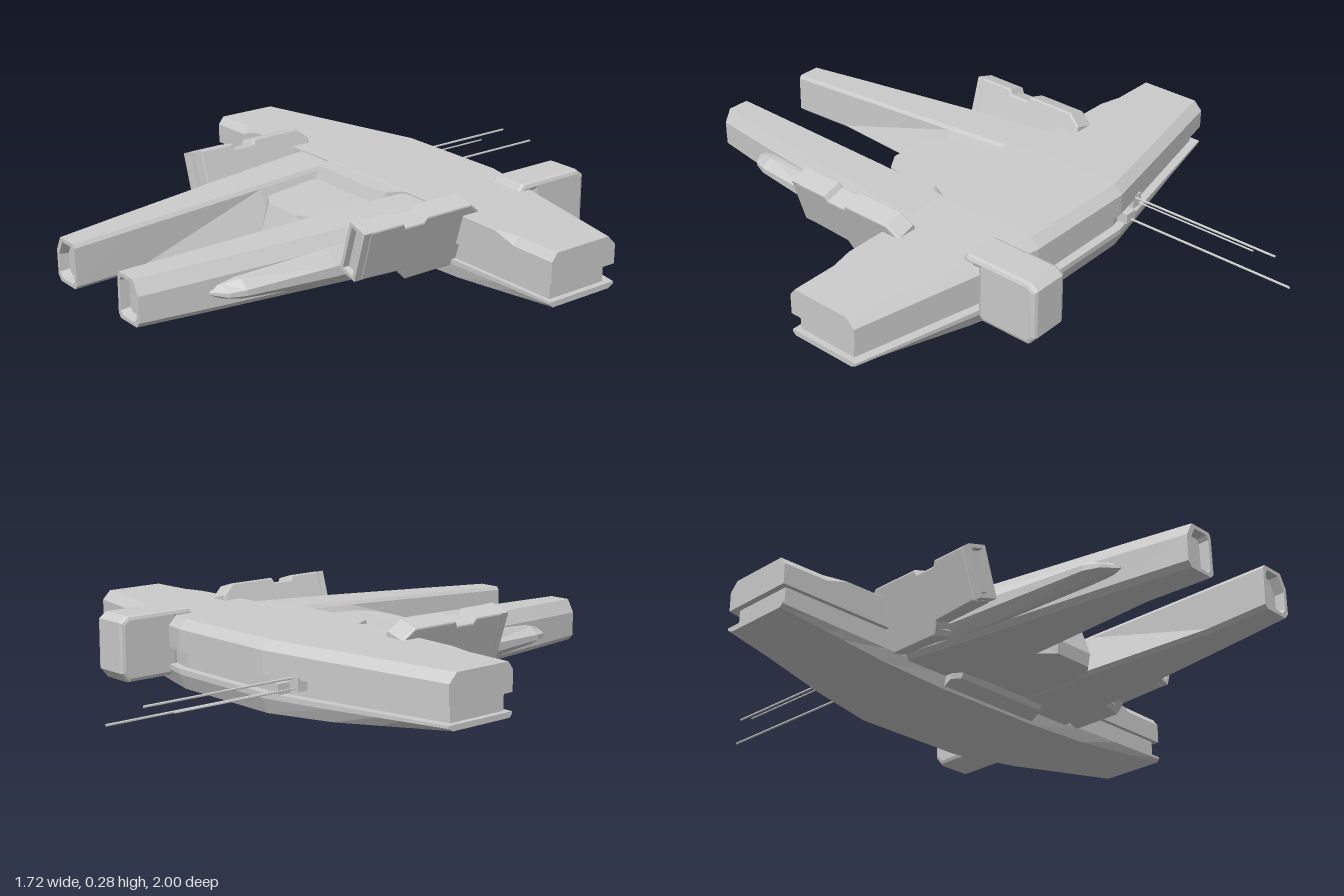
import * as THREE from 'three';

const material = new THREE.MeshStandardMaterial({ color: 0xcccccc, flatShading: true });

function add(group, name, geometry) {
  const mesh = new THREE.Mesh(geometry, material);
  mesh.name = name;
  group.add(mesh);
  return mesh;
}

// Closed solid through matching rings of [x, y, z] points, always wound outwards.
function loft(rings) {
  const n = rings[0].length, tris = [];
  for (let r = 0; r < rings.length - 1; r++) {
    for (let i = 0; i < n; i++) {
      const j = (i + 1) % n;
      const a = rings[r][i], b = rings[r][j], c = rings[r + 1][j], d = rings[r + 1][i];
      tris.push([a, b, c], [a, c, d]);
    }
  }
  const first = rings[0], last = rings[rings.length - 1];
  for (let i = 1; i < n - 1; i++) {
    tris.push([first[0], first[i + 1], first[i]], [last[0], last[i], last[i + 1]]);
  }
  let volume = 0;
  for (const [a, b, c] of tris) {
    volume += new THREE.Vector3(...a).dot(new THREE.Vector3(...b).cross(new THREE.Vector3(...c)));
  }
  const points = tris.flatMap(t => (volume < 0 ? [t[0], t[2], t[1]] : t)).flat();
  const geometry = new THREE.BufferGeometry();
  geometry.setAttribute('position', new THREE.Float32BufferAttribute(points, 3));
  geometry.computeVertexNormals();
  return geometry;
}

// Side profile of [z, y] points, extruded to a width centred on x.
function sideExtrude(profile, width, bevel) {
  const shape = new THREE.Shape(profile.map(p => new THREE.Vector2(...p)));
  const geometry = new THREE.ExtrudeGeometry(shape, {
    depth: width - 2 * bevel, bevelEnabled: bevel > 0,
    bevelSize: bevel, bevelThickness: bevel, bevelOffset: -bevel, bevelSegments: 2,
  });
  geometry.translate(0, 0, bevel - width / 2);
  return geometry.rotateY(-Math.PI / 2);
}

const lerp = THREE.MathUtils.lerp;
const STATIONS = [-0.86, -0.7, -0.62, -0.45, -0.21, 0.21, 0.45, 0.62, 0.7, 0.86];

// Swept wing edges, shared by its three layers
function wingAt(x) {
  const t = Math.max(0, (Math.abs(x) - 0.21) / 0.65);
  const bottom = t < 0.37 ? lerp(0, 0.01, t / 0.37) : lerp(0.01, 0.05, (t - 0.37) / 0.63);
  return {
    back: lerp(-0.4, -0.26, t), top: lerp(0.228, 0.218, t), bottom,
    chamfer: Math.abs(x) > 0.65 ? 0.02 : 0.002,
  };
}

function buildWing(group) {
  add(group, 'upperWing', loft(STATIONS.map(x => {
    const { back, top, chamfer } = wingAt(x);
    return [[x, top, -chamfer], [x, top, back + 0.03], [x, top - 0.03, back],
      [x, 0.125, back], [x, 0.125, 0], [x, top - chamfer * 1.3, 0]];
  })));
  add(group, 'wingCore', loft([-0.84, -0.21, 0.21, 0.84].map(x => {
    const { back } = wingAt(x);
    return [[x, 0.13, back + 0.03], [x, 0.05, back + 0.03], [x, 0.05, -0.015], [x, 0.13, -0.015]];
  })));
  add(group, 'lowerWing', loft(STATIONS.map(x => {
    const { back, bottom } = wingAt(x);
    return [[x, 0.068, back], [x, 0.05 + bottom * 0.2, back], [x, bottom, back + 0.02],
      [x, bottom, -0.01], [x, 0.05 + bottom * 0.2, 0], [x, 0.068, 0]];
  })));
}

function buildCentre(group) {
  // Deck lip and recessed nose between the prongs
  const plan = (y, pts) => pts.concat(pts.map(([x, z]) => [-x, z]).reverse()).map(([x, z]) => [x, y, z]);
  add(group, 'deckLip', loft([
    plan(0.18, [[0.2, -0.05], [0.2, 0], [0.175, 0.075]]),
    plan(0.226, [[0.2, -0.05], [0.2, 0], [0.17, 0.06]]),
  ]));
  add(group, 'nose', loft([
    plan(0.045, [[0.2, -0.05], [0.13, 0.3], [0.07, 0.36]]),
    plan(0.09, [[0.2, -0.05], [0.13, 0.305], [0.075, 0.365]]),
    plan(0.185, [[0.2, -0.05], [0.13, 0.295], [0.07, 0.335]]),
  ]));
  add(group, 'chin', loft([
    plan(0.01, [[0.2, -0.1], [0.2, -0.005], [0.17, 0.0]]),
    plan(0.025, [[0.2, -0.1], [0.2, 0.02], [0.18, 0.05]]),
    plan(0.05, [[0.2, -0.1], [0.2, 0.03], [0.18, 0.06]]),
  ]));
}

function buildProng(group, s) {
  // [z, inner bottom, inner top, outer, top]
  const ring = ([z, ib, it, out, top], inset = 0, push = 0) => {
    const k = inset;
    return [[ib + k, 0.055 + k], [ib + 0.012 + k, 0.043 + k], [out - 0.015 - k, 0.043 + k], [out - k, 0.06 + k],
      [out - k, top - 0.045 - k], [out - 0.025 - k, top - k], [it + 0.008 + k, top - k], [it + k, top - 0.012 - k],
    ].map(([x, y]) => [s * x, y, z + push]);
  };
  const end = [1, 0.122, 0.125, 0.235, 0.187];
  add(group, 'prong', loft([
    ring([-0.04, 0.1, 0.188, 0.38, 0.221]), ring([0.3, 0.105, 0.163, 0.335, 0.212]),
    ring([0.78, 0.135, 0.137, 0.268, 0.195]), ring(end), ring(end, 0.012), ring(end, 0.016, -0.03),
  ]));
  // Tapered fairing on the outer flank: [z, outer x, low y, high y]
  const flank = [[0, 0.39, 0.055, 0.185], [0.4, 0.366, 0.06, 0.168], [0.7, 0.338, 0.082, 0.142],
    [0.75, 0.318, 0.088, 0.13], [0.785, 0.27, 0.095, 0.12]];
  add(group, 'flankFairing', loft(flank.map(([z, out, lo, hi]) => [
    [0.2, lo], [out - 0.03, lo], [out, lerp(lo, hi, 0.3)],
    [out, lerp(lo, hi, 0.6)], [out - 0.035, hi], [0.2, hi],
  ].map(([x, y]) => [s * x, y, z]))));
}

function buildGun(parent, s) {
  const gun = new THREE.Group();
  gun.name = s > 0 ? 'leftGun' : 'rightGun';
  const cy = 0.17;
  const profile = [[0.365, 0.1], [0.365, 0.272], [0.24, 0.272], [0.23, 0.255], [0.16, 0.255], [0.15, 0.272],
    [-0.025, 0.272], [-0.068, 0.235], [-0.068, 0.1], [0.0, 0.05], [0.18, 0.05], [0.2, 0.09]];
  add(gun, 'gunBody', sideExtrude(profile, 0.075, 0.006)).position.y = -cy;
  // Open rectangular muzzle frame with an inner blade
  const rect = (T, w, h) => new T([[-w, -h], [w, -h], [w, h], [-w, h]].map(p => new THREE.Vector2(...p)));
  const frame = rect(THREE.Shape, 0.036, 0.085);
  frame.holes.push(rect(THREE.Path, 0.024, 0.073));
  const muzzle = new THREE.ExtrudeGeometry(frame, { depth: 0.035, bevelEnabled: false });
  add(gun, 'muzzleFrame', muzzle).position.set(0, 0.186 - cy, 0.352);
  add(gun, 'muzzleBlade', new THREE.BoxGeometry(0.026, 0.125, 0.02)).position.set(0, 0.186 - cy, 0.366);
  gun.position.set(s * 0.42, cy, 0);
  gun.rotation.z = -s * 0.3;
  parent.add(gun);
  // Bracket joining the gun to the prong
  const bracket = add(parent, 'gunBracket', new THREE.BoxGeometry(0.12, 0.075, 0.2));
  bracket.position.set(s * 0.35, 0.115, 0.09);
  bracket.rotation.z = -s * 0.15;
}

function buildRearPod(group) {
  const profile = [[-0.275, 0.215], [-0.3, 0.245], [-0.54, 0.245], [-0.567, 0.225], [-0.567, 0.06],
    [-0.54, 0.028], [-0.36, 0.028], [-0.345, 0.045], [-0.345, 0.215]];
  add(group, 'rearPod', sideExtrude(profile, 0.138, 0.014)).position.x = 0.36;
}

function buildAntennas(group) {
  for (const [x, y, end, r] of [[-0.34, 0.1, -0.82, 0.003], [-0.32, 0.128, -0.91, 0.004], [-0.267, 0.08, -1, 0.004]]) {
    const length = -0.33 - end;
    const rod = new THREE.CylinderGeometry(r, r, length, 6).rotateX(Math.PI / 2);
    add(group, 'antenna', rod).position.set(x, y, end + length / 2);
  }
  add(group, 'antennaMount', new THREE.BoxGeometry(0.045, 0.035, 0.06)).position.set(-0.265, 0.09, -0.372);
  add(group, 'antennaMount', new THREE.BoxGeometry(0.04, 0.045, 0.05)).position.set(-0.33, 0.112, -0.352);
}

export function createModel() {
  const model = new THREE.Group();
  model.name = 'spacecraft';
  buildWing(model);
  buildCentre(model);
  for (const s of [1, -1]) {
    buildProng(model, s);
    buildGun(model, s);
  }
  buildRearPod(model);
  buildAntennas(model);
  return model;
}
